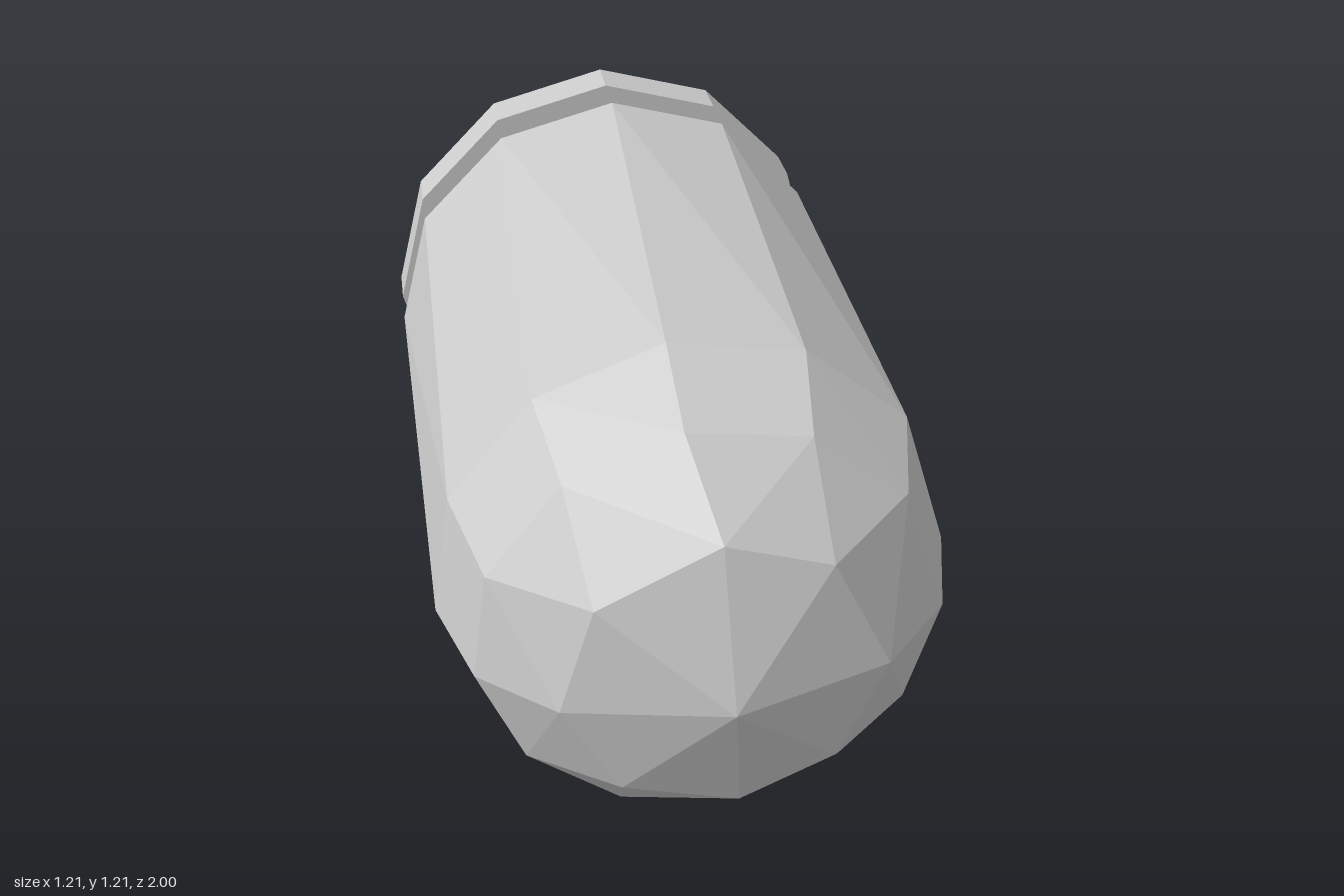
import * as THREE from 'three';
import { ConvexGeometry } from 'three/addons/geometries/ConvexGeometry.js';

const SIDES = 12, RADIUS = 0.605;
const material = new THREE.MeshStandardMaterial({ color: 0xcccccc, flatShading: true });

// Points on a circle around the z axis, at the given angles in degrees
function ring(radius, z, degrees) {
  return degrees.map((d) => {
    const a = THREE.MathUtils.degToRad(d);
    return new THREE.Vector3(radius * Math.cos(a), radius * Math.sin(a), z);
  });
}

// Twelve-sided disc lying along z
function disc(name, radius, back, front, open) {
  const geometry = new THREE.CylinderGeometry(radius, radius, front - back, SIDES, 1, open);
  geometry.rotateX(Math.PI / 2).translate(0, 0, (back + front) / 2);
  const mesh = new THREE.Mesh(geometry, material);
  mesh.name = name;
  return mesh;
}

export function createModel() {
  const model = new THREE.Group();
  model.name = 'slug';

  // Slightly tapered, slightly twisted body ending in a faceted dome
  const even = Array.from({ length: SIDES }, (_, i) => i * 30);
  const twisted = even.map((d, i) => (i === 0 || i === SIDES - 1 ? d : d + 6));
  const body = new THREE.Mesh(new ConvexGeometry([
    ...ring(RADIUS, -0.757, even),
    ...ring(0.59, 0.485, twisted),
    ...ring(0.52, 0.72, twisted.map((d) => (d % 30 ? d + 1 : d))),
    ...ring(0.353, 0.89, [0, 52, 92, 141, 186, 231, 276, 315]),
    new THREE.Vector3(0, 0, 1),
  ]), material);
  body.name = 'body';
  model.add(body);

  // Recessed groove and rear rim
  model.add(disc('groove', 0.495, -0.88, -0.757, true));
  model.add(disc('rearRim', RADIUS, -1, -0.88, false));

  model.children.forEach((part) => { part.position.y = RADIUS; });
  return model;
}
